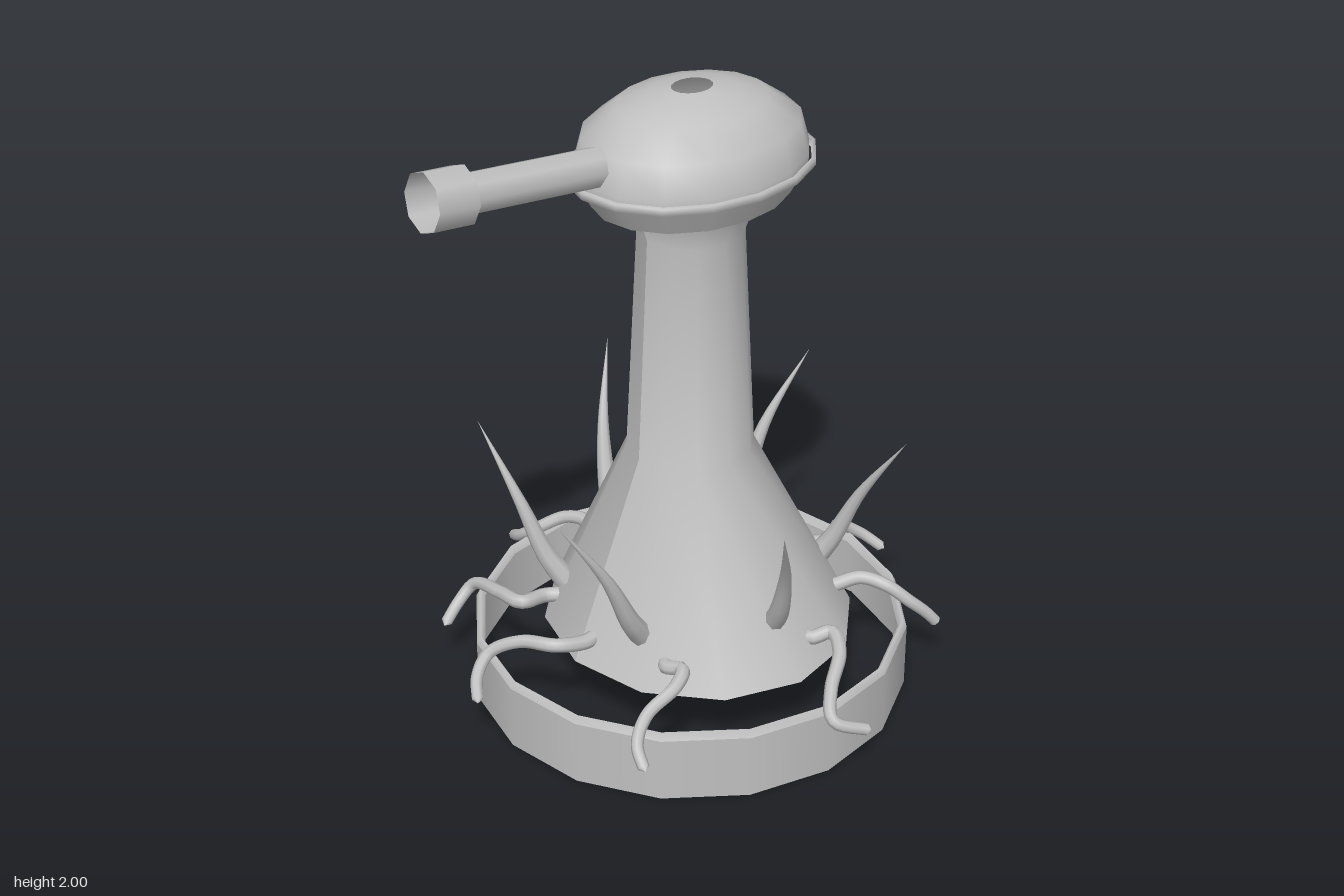
import * as THREE from 'three';

const gray = new THREE.MeshStandardMaterial({ color: 0xc0c0c0, side: THREE.DoubleSide });
gray.name = 'plain gray';

const CX = -0.008, CZ = -0.06; // common vertical axis

function add(parent, name, geometry) {
  const mesh = new THREE.Mesh(geometry, gray);
  mesh.name = name;
  parent.add(mesh);
  return mesh;
}

const lathe = (profile, sides) =>
  new THREE.LatheGeometry(profile.map(([r, y]) => new THREE.Vector2(r, y)), sides);

// Tube along points whose radius follows radiusAt(t)
function taperedTube(points, radiusAt, segments, sides) {
  const curve = new THREE.CatmullRomCurve3(points);
  const geo = new THREE.TubeGeometry(curve, segments, 1, sides);
  const pos = geo.attributes.position, v = new THREE.Vector3();
  for (let i = 0; i <= segments; i++) {
    const t = i / segments, c = curve.getPointAt(t), r = radiusAt(t);
    for (let j = 0; j <= sides; j++) {
      const k = i * (sides + 1) + j;
      v.fromBufferAttribute(pos, k).sub(c).multiplyScalar(r).add(c);
      pos.setXYZ(k, v.x, v.y, v.z);
    }
  }
  return geo;
}

// Plan paths of the tentacles as [x, z], from root to tip
const TENTACLES = [
  [[0.04, -0.50], [0.085, -0.55], [0.02, -0.64], [-0.03, -0.71], [-0.01, -0.78], [0.045, -0.83]],
  [[0.27, -0.40], [0.31, -0.49], [0.38, -0.54], [0.43, -0.59], [0.455, -0.64], [0.47, -0.68]],
  [[0.45, -0.17], [0.48, -0.225], [0.56, -0.19], [0.64, -0.09], [0.71, -0.04], [0.765, -0.145]],
  [[0.30, 0.27], [0.36, 0.255], [0.40, 0.31], [0.405, 0.42], [0.45, 0.49], [0.515, 0.51]],
  [[0.05, 0.39], [0.03, 0.48], [-0.07, 0.54], [-0.14, 0.61], [-0.12, 0.67], [-0.06, 0.71]],
  [[-0.23, 0.34], [-0.225, 0.43], [-0.33, 0.44], [-0.48, 0.44], [-0.49, 0.49], [-0.465, 0.565]],
  [[-0.43, 0.025], [-0.48, 0.0], [-0.56, 0.025], [-0.625, 0.10], [-0.69, 0.115], [-0.77, 0.09]],
  [[-0.37, -0.33], [-0.34, -0.43], [-0.40, -0.465], [-0.57, -0.36], [-0.65, -0.38], [-0.645, -0.505]],
];
const TENTACLE_Y = [0.315, 0.33, 0.315, 0.265, 0.215, 0.165];

export function createModel() {
  const model = new THREE.Group();
  model.name = 'spikedTurret';

  // Open ring around the foot
  add(model, 'baseRing', lathe([[0.683, 0], [0.683, 0.21]], 16)).position.set(CX, 0, CZ);
  add(model, 'baseRingLip', lathe([[0.683, 0.21], [0.67, 0.235], [0.655, 0.21]], 16)).position.set(CX, 0, CZ);

  // Flared hollow body, the foot a little wider across than deep
  const bodyGeo = lathe([[0.49, 0.235], [0.195, 0.84], [0.16, 1.56], [0.2, 1.67]], 12);
  const p = bodyGeo.attributes.position;
  for (let i = 0; i < p.count; i++) {
    const k = Math.max(0, (0.84 - p.getY(i)) / 0.605);
    p.setX(i, p.getX(i) * (1 + 0.025 * k) + 0.03 * k);
    p.setZ(i, p.getZ(i) * (1 - 0.03 * k) - 0.01 * k);
  }
  bodyGeo.computeVertexNormals();
  add(model, 'body', bodyGeo).position.set(CX, 0, CZ);

  // Oval head with a hole at the crown
  const head = new THREE.Group();
  head.name = 'head';
  head.position.set(CX, 0, CZ - 0.002);
  head.scale.z = 1.24;
  model.add(head);
  add(head, 'headUnderside', lathe([[0.165, 1.67], [0.252, 1.67]], 16));
  add(head, 'headLower', lathe([[0.252, 1.67], [0.296, 1.76]], 16));
  add(head, 'headDome', lathe([[0.296, 1.76], [0.297, 1.79], [0.275, 1.885],
    [0.19, 1.96], [0.11, 1.988], [0.052, 2.0]], 16));
  add(head, 'headBand', lathe([[0.304, 1.755], [0.315, 1.757], [0.315, 1.778], [0.304, 1.78]], 16));

  // Hollow cannon, tilted slightly upward
  const cannon = new THREE.Group();
  cannon.name = 'cannon';
  cannon.position.set(CX, 1.835, 0.2);
  cannon.rotation.x = Math.PI / 2 - 0.1;
  model.add(cannon);
  add(cannon, 'barrel', lathe([[0.06, 0], [0.06, 0.53]], 8));
  add(cannon, 'muzzleBack', lathe([[0.06, 0.52], [0.088, 0.52]], 8));
  add(cannon, 'muzzle', lathe([[0.088, 0.52], [0.088, 0.65]], 8));

  // Six swirling spikes
  const spikeGeo = taperedTube([
    new THREE.Vector3(0.39, 0.37, -0.005),
    new THREE.Vector3(0.445, 0.45, 0.01),
    new THREE.Vector3(0.52, 0.63, 0.05),
    new THREE.Vector3(0.635, 0.865, 0.155),
  ], (t) => 0.038 * (1 - t), 12, 8);
  for (let i = 0; i < 6; i++) {
    const spike = add(model, 'spike', spikeGeo);
    spike.position.set(CX, 0, CZ);
    spike.rotation.y = (i * Math.PI) / 3;
  }

  // Tentacles drooping over the ring
  for (const path of TENTACLES) {
    const points = path.map(([x, z], i) => new THREE.Vector3(x, TENTACLE_Y[i], z));
    // root sunk into the body
    points.unshift(new THREE.Vector3(
      points[0].x + (CX - points[0].x) * 0.12, 0.315, points[0].z + (CZ - points[0].z) * 0.12));
    add(model, 'tentacle', taperedTube(points, (t) => (t === 1 ? 0 : 0.024 - 0.006 * t), 36, 8));
  }
  return model;
}
